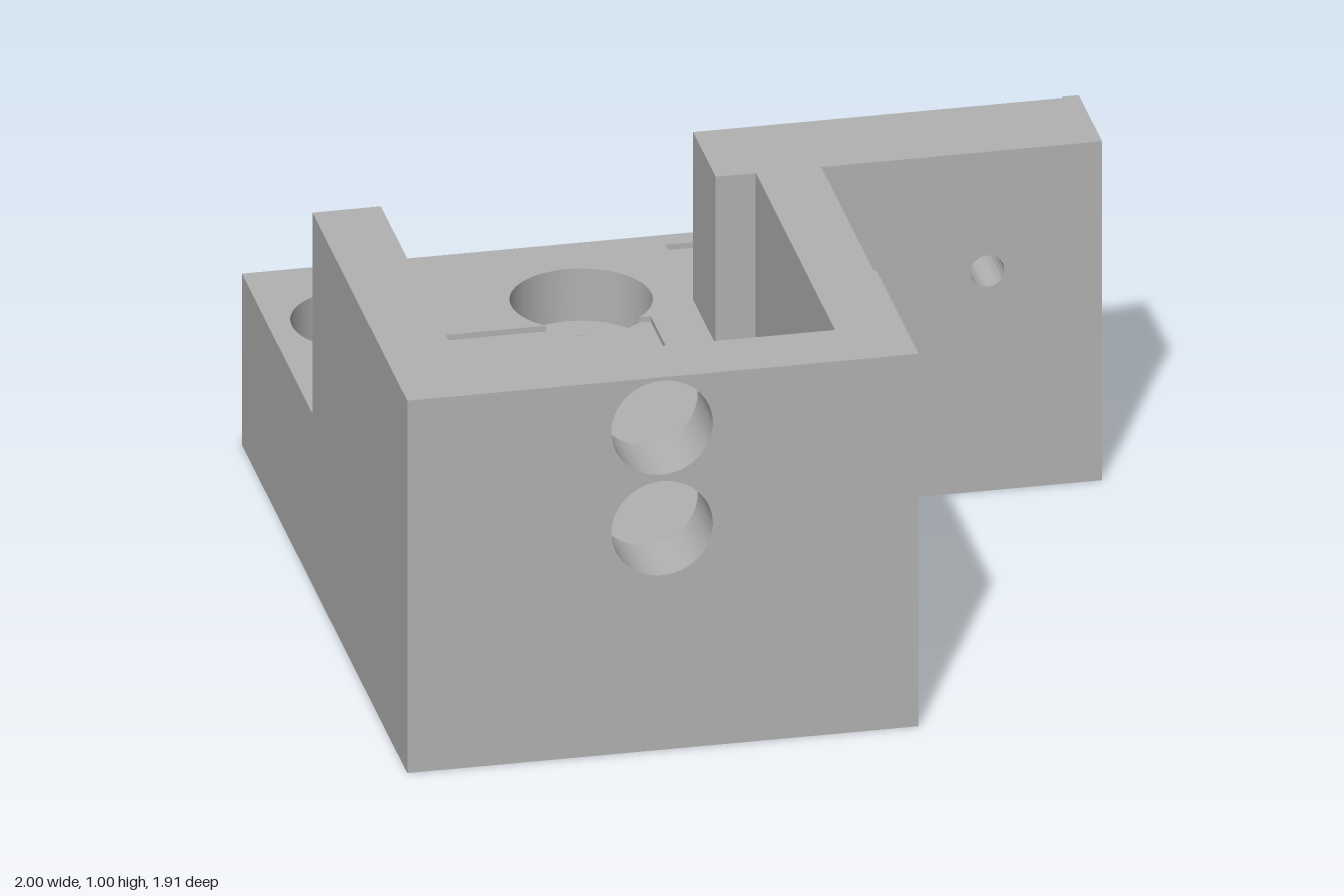
import * as THREE from 'three';
import { toCreasedNormals } from 'three/addons/utils/BufferGeometryUtils.js';

const FLOOR = 0.445, DECK = 0.46, TOP = 1, BORE_Y = 0.32;
const BORES = [[-0.77, 0.64], [-0.225, 0.64]]; // plan coordinates: x, -z

export function createModel() {
  const group = new THREE.Group();
  const grey = new THREE.MeshStandardMaterial({ color: 0xb2b2b2 });
  grey.name = 'grey';

  const poly = (pts) => new THREE.Shape(pts.map(([x, y]) => new THREE.Vector2(x, y)));
  const rect = (x0, y0, x1, y1) => poly([[x0, y0], [x1, y0], [x1, y1], [x0, y1]]);
  const circle = (x, y, r) => new THREE.Path().absarc(x, y, r, 0, Math.PI * 2, true);
  const extrude = (shape, depth) =>
    new THREE.ExtrudeGeometry(shape, { depth, bevelEnabled: false, curveSegments: 48 });
  const add = (name, geometry) => {
    const mesh = new THREE.Mesh(toCreasedNormals(geometry, 0.5), grey);
    mesh.name = name;
    group.add(mesh);
  };
  // Plan shape (x, -z) raised from y0 to y1
  const slab = (name, shape, y0, y1) =>
    add(name, extrude(shape, y1 - y0).rotateX(-Math.PI / 2).translate(0, y0, 0));
  // Front shape (x, y) running from z0 to z1
  const panel = (name, shape, z0, z1) => add(name, extrude(shape, z1 - z0).translate(0, 0, z0));

  // L-shaped base, drilled below and counterbored above
  const layers = [['baseLower', 0.092, 0, BORE_Y], ['baseUpper', 0.174, BORE_Y, FLOOR]];
  for (const [name, r, y0, y1] of layers) {
    const plan = poly([[-1, -0.955], [0.27, -0.955], [0.27, 0.32], [1, 0.32], [1, 0.955], [-1, 0.955]]);
    for (const [x, y] of BORES) plan.holes.push(circle(x, y, r));
    slab(name, plan, y0, y1);
  }

  // Thin deck around the sunken channel, the bores and the rear recess
  const deck = new THREE.Shape();
  deck.moveTo(-1, 0.955);
  for (const [x, y] of [[-1, 0.14], [-0.83, 0.14], [-0.83, 0.15], [-0.65, 0.15], [-0.65, 0.51], [-0.341, 0.51]])
    deck.lineTo(x, y);
  const [bx, by] = BORES[1];
  deck.absarc(bx, by, 0.174, Math.atan2(-0.13, -0.116), Math.atan2(-0.13, 0.116), true);
  for (const [x, y] of [[-0.08, 0.51], [-0.08, 0.15], [0.1, 0.15], [0.1, 0.14], [0.27, 0.14], [0.27, 0.32], [1, 0.32], [1, 0.955]])
    deck.lineTo(x, y);
  deck.closePath();
  deck.holes.push(circle(BORES[0][0], BORES[0][1], 0.174), rect(0.04, 0.58, 0.96, 0.9));
  slab('deck', deck, FLOOR, DECK);

  // Three-sided housing: front wall with two round openings
  const front = rect(-1, FLOOR, 0.27, TOP);
  front.holes.push(circle(-0.367, 0.865, 0.126), circle(-0.367, 0.595, 0.126));
  panel('frontWall', front, 0.78, 0.955);
  slab('rightWall', rect(-1, -0.78, -0.83, 0.14), FLOOR, TOP);
  slab('leftWall', rect(0.1, -0.78, 0.262, 0.14), FLOOR, TOP);

  // Outer skin of the left wall, with a shallow round relief
  const cy = 1.19, cu = -0.14, r = 0.38;
  const a0 = Math.atan2(TOP - cy, -Math.sqrt(r * r - (cy - TOP) ** 2));
  const a1 = -Math.acos(0.28 / r);
  const skin = new THREE.Shape();
  skin.moveTo(0.14, FLOOR);
  skin.lineTo(0.14, cy + r * Math.sin(a1));
  skin.absarc(cu, cy, r, a1, a0, true);
  skin.lineTo(-0.78, TOP);
  skin.lineTo(-0.78, FLOOR);
  skin.closePath();
  add('leftWallSkin', extrude(skin, 0.008).rotateY(Math.PI / 2).translate(0.262, 0, 0));

  // Upright mounting plate with two through holes and a narrow rear rim
  const plate = rect(0.04, FLOOR, 1, 0.91);
  for (const x of [0.285, 0.715]) plate.holes.push(circle(x, 0.59, 0.042));
  panel('mountingPlate', plate, -0.58, -0.32);
  panel('plateRim', rect(0.96, DECK, 1, 0.91), -0.59, -0.58);

  return group;
}
